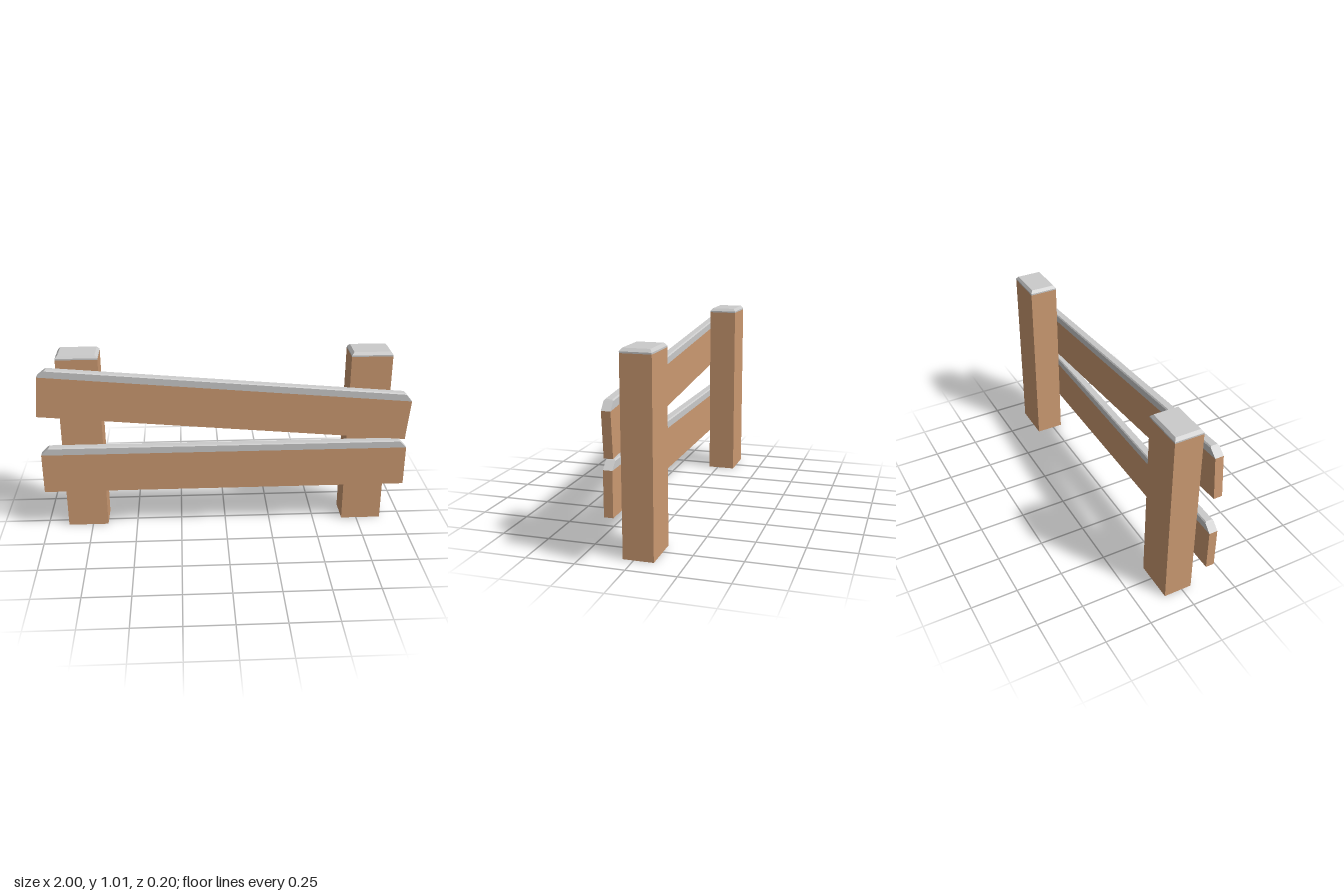
import * as THREE from 'three';

const wood = new THREE.MeshStandardMaterial({ color: 0xcc9a72, flatShading: true });
const snow = new THREE.MeshStandardMaterial({ color: 0xcccccc, flatShading: true });

// Solid through stacked rectangles, each given as [halfX, halfZ, y]
function stack(sections) {
  const points = [];
  const index = [];
  for (const [hx, hz, y] of sections) {
    points.push(-hx, y, hz, hx, y, hz, hx, y, -hz, -hx, y, -hz);
  }
  const top = (sections.length - 1) * 4;
  for (let r = 0; r < top; r += 4) {
    for (let i = 0; i < 4; i++) {
      const a = r + i, b = r + (i + 1) % 4;
      index.push(a, b, b + 4, a, b + 4, a + 4);
    }
  }
  index.push(top, top + 1, top + 2, top, top + 2, top + 3);
  index.push(0, 2, 1, 0, 3, 2);
  const g = new THREE.BufferGeometry();
  g.setAttribute('position', new THREE.Float32BufferAttribute(points, 3));
  g.setIndex(index);
  const flat = g.toNonIndexed();
  flat.computeVertexNormals();
  return flat;
}

// A timber standing on its own y = 0, with a bevelled cap on top
function timber(name, hx, hz, height, capSections) {
  const group = new THREE.Group();
  group.name = name;
  const body = new THREE.Mesh(new THREE.BoxGeometry(hx * 2, height, hz * 2), wood);
  body.name = name + 'Wood';
  body.position.y = height / 2;
  const cap = new THREE.Mesh(stack(capSections), snow);
  cap.name = name + 'Cap';
  cap.position.y = height;
  group.add(body, cap);
  return group;
}

export function createModel() {
  const model = new THREE.Group();
  model.name = 'fence';

  // Upright posts, the left one slightly shorter
  for (const [name, x, height] of [['rightPost', -0.775, 0.987], ['leftPost', 0.775, 0.977]]) {
    const post = timber(name, 0.11, 0.077, height, [
      [0.11, 0.077, 0], [0.11, 0.077, 0.008], [0.096, 0.066, 0.023],
    ]);
    post.position.set(x, 0, -0.023);
    model.add(post);
  }

  // Rails on the front of the posts; the upper one has slipped
  for (const [name, x, y, tilt] of [['lowerRail', -0.003, 0.24, 0], ['upperRail', -0.012, 0.602, -0.089]]) {
    const rail = timber(name, 0.992, 0.0225, 0.223, [
      [0.992, 0.0225, 0], [0.955, 0.0225, 0.036], [0.948, 0.017, 0.042],
    ]);
    rail.position.set(x, y, 0.0775);
    rail.rotation.z = tilt;
    model.add(rail);
  }
  return model;
}
